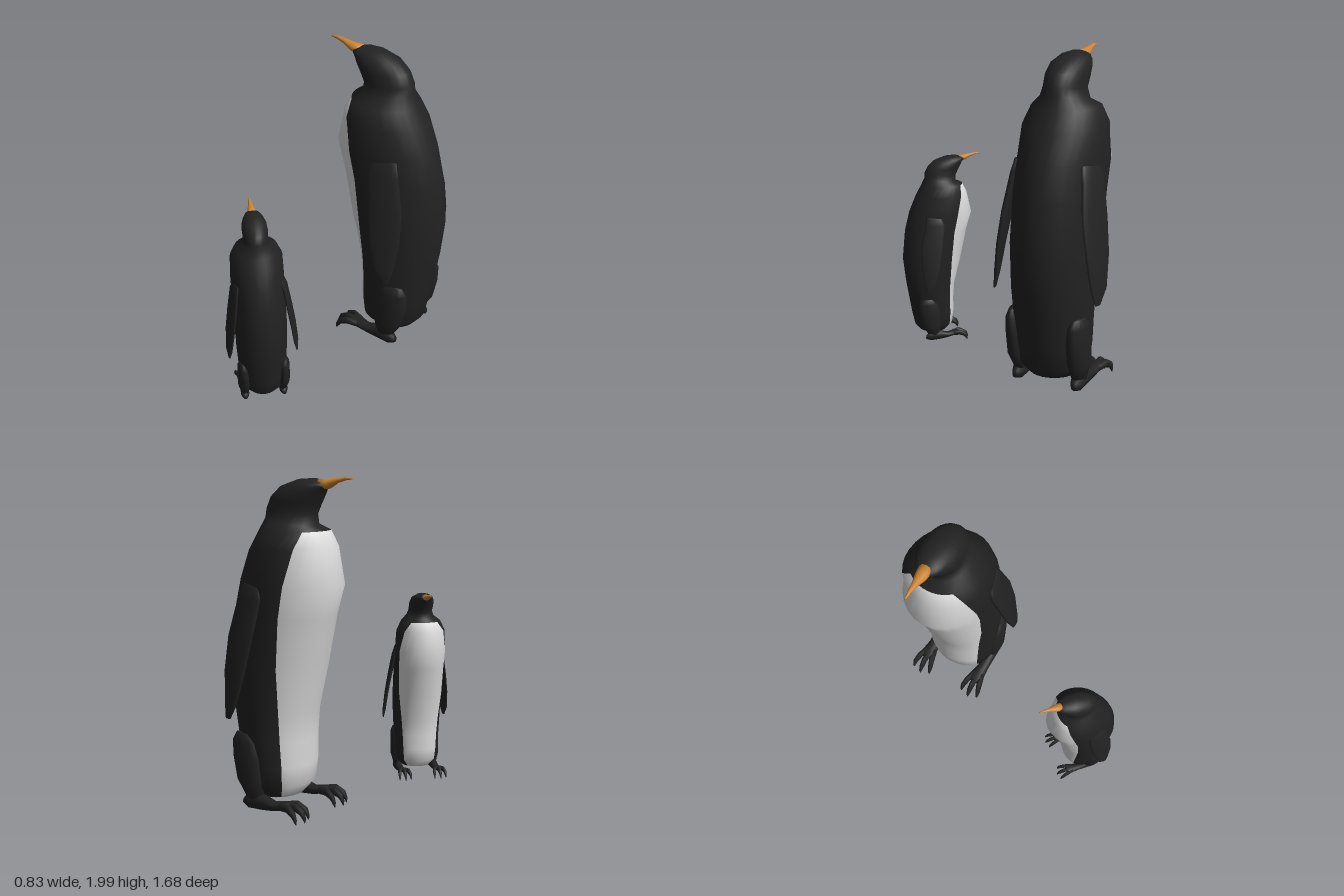
import * as THREE from 'three';

const black = new THREE.MeshStandardMaterial({ color: 0x222222 });
black.name = 'blackPlumage';
const white = new THREE.MeshStandardMaterial({ color: 0xdcdcdc });
white.name = 'whiteBelly';
const orange = new THREE.MeshStandardMaterial({ color: 0xcc8433 });
orange.name = 'orangeBeak';

// Skin closed rings. Ring: [front x, front y, back x, back y, half width, front z, back z].
// patch: half angle in degrees of the white area, for each of the lowest rings.
function loft(name, rings, material, { sides = 12, patch = null, mid = 0.5 } = {}) {
  const pos = [], main = [], pale = [];
  const paleCols = patch ? 10 : 0;
  rings.forEach(([xf, yf, xb, yb, w, zf = 0, zb = zf], i) => {
    const edge = patch ? THREE.MathUtils.degToRad(patch[Math.min(i, patch.length - 1)]) : 0;
    for (let j = 0; j < sides; j++) {
      // columns 0..paleCols span the white patch, the others the rest of the ring
      const a = j < paleCols
        ? -edge + (2 * edge * j) / paleCols
        : edge + ((2 * Math.PI - 2 * edge) * (j - paleCols)) / (sides - paleCols);
      const c = Math.cos(a);
      const t = c > 0 ? mid * (1 - c) : mid - (1 - mid) * c;
      pos.push(xf + (xb - xf) * t, yf + (yb - yf) * t, zf + (zb - zf) * t + w * Math.sin(a));
    }
  });
  for (let i = 0; i < rings.length - 1; i++) {
    for (let j = 0; j < sides; j++) {
      const k = (j + 1) % sides;
      const a = i * sides + j, b = i * sides + k;
      const list = patch && i < patch.length - 1 && j < paleCols ? pale : main;
      list.push(a, b, b + sides, a, b + sides, a + sides);
    }
  }
  // end caps
  [0, rings.length - 1].forEach((i, end) => {
    const [xf, yf, xb, yb, , zf = 0, zb = zf] = rings[i];
    const centre = pos.length / 3;
    pos.push((xf + xb) / 2, (yf + yb) / 2, (zf + zb) / 2);
    for (let j = 0; j < sides; j++) {
      const a = i * sides + j, b = i * sides + ((j + 1) % sides);
      main.push(centre, ...(end ? [a, b] : [b, a]));
    }
  });
  const geo = new THREE.BufferGeometry();
  geo.setAttribute('position', new THREE.Float32BufferAttribute(pos, 3));
  geo.setIndex([...pale, ...main]);
  geo.computeVertexNormals();
  if (patch) {
    geo.addGroup(0, pale.length, 0);
    geo.addGroup(pale.length, main.length, 1);
  }
  const mesh = new THREE.Mesh(geo, patch ? [white, material] : material);
  mesh.name = name;
  return mesh;
}

// One bird facing -x
function makePenguin(name) {
  const bird = new THREE.Group();
  bird.name = name;

  // body, neck and head, from the bottom up
  bird.add(loft('bodyAndHead', [
    [-0.03, 0.10, 0.25, 0.10, 0.15],
    [-0.10, 0.18, 0.30, 0.16, 0.215],
    [-0.115, 0.30, 0.33, 0.30, 0.23],
    [-0.115, 0.45, 0.36, 0.48, 0.24],
    [-0.13, 0.62, 0.387, 0.65, 0.25],
    [-0.205, 0.90, 0.415, 0.90, 0.257],
    [-0.27, 1.20, 0.385, 1.20, 0.258],
    [-0.325, 1.38, 0.335, 1.40, 0.258],
    [-0.275, 1.60, 0.26, 1.57, 0.25],
    [-0.23, 1.69, 0.20, 1.68, 0.205],
    [-0.165, 1.715, 0.165, 1.76, 0.14],
    [-0.165, 1.78, 0.165, 1.81, 0.118],
    [-0.19, 1.835, 0.13, 1.88, 0.122],
    [-0.22, 1.89, 0.06, 1.94, 0.115],
    [-0.235, 1.92, -0.06, 1.98, 0.09],
    [-0.25, 1.933, -0.16, 1.987, 0.062],
    [-0.255, 1.94, -0.225, 1.973, 0.036],
  ], black, { sides: 30, mid: 0.45, patch: [48, 50, 50, 50, 52, 63, 69, 72, 56, 42] }));

  // beak
  bird.add(loft('beak', [
    [-0.235, 1.925, -0.20, 1.982, 0.042],
    [-0.275, 1.93, -0.25, 1.984, 0.036],
    [-0.33, 1.962, -0.32, 1.992, 0.02],
    [-0.39, 1.98, -0.38, 2.0, 0.011],
    [-0.428, 1.984, -0.425, 1.994, 0.004],
  ], orange));

  for (const side of [1, -1]) {
    const label = side > 0 ? 'left' : 'right';
    const mirror = (rings) => rings.map((r) => [...r.slice(0, 5), r[5] * side, r[6] * side]);

    // flipper, tip to shoulder
    bird.add(loft(label + 'Flipper', mirror([
      [0.20, 0.60, 0.245, 0.60, 0.006, 0.34, 0.33],
      [0.145, 0.69, 0.265, 0.69, 0.018, 0.35, 0.31],
      [0.09, 0.88, 0.285, 0.88, 0.022, 0.335, 0.285],
      [0.055, 1.08, 0.278, 1.08, 0.024, 0.305, 0.255],
      [0.025, 1.30, 0.225, 1.30, 0.026, 0.265, 0.225],
      [0.05, 1.37, 0.20, 1.39, 0.018, 0.245, 0.21],
    ]), black, { sides: 16 }));

    // thigh, ankle to hip
    bird.add(loft(label + 'Thigh', mirror([
      [0.09, 0.09, 0.20, 0.09, 0.04, 0.195, 0.19],
      [0.07, 0.20, 0.27, 0.20, 0.06, 0.205, 0.195],
      [0.07, 0.34, 0.30, 0.34, 0.058, 0.21, 0.195],
      [0.10, 0.44, 0.30, 0.44, 0.05, 0.215, 0.20],
      [0.15, 0.49, 0.27, 0.49, 0.025, 0.22, 0.205],
    ]), black, { sides: 14 }));

    // foot, heel to ball
    bird.add(loft(label + 'Foot', mirror([
      [0.23, 0.045, 0.22, 0.09, 0.02, 0.195, 0.195],
      [0.18, 0.025, 0.18, 0.13, 0.042, 0.195, 0.195],
      [0.08, 0.03, 0.09, 0.13, 0.04, 0.195, 0.195],
      [0.0, 0.04, 0.0, 0.10, 0.038, 0.193, 0.193],
      [-0.10, 0.065, -0.10, 0.115, 0.052, 0.19, 0.19],
      [-0.13, 0.075, -0.13, 0.105, 0.04, 0.19, 0.19],
    ]), black));

    // three toes ending in hooked claws
    for (const k of [-1, 0, 1]) {
      const z = (spread) => 0.19 + k * spread;
      const reach = k === 0 ? -0.02 : 0;
      bird.add(loft(label + 'Toe', mirror([
        [-0.06, 0.06, -0.06, 0.105, 0.018, z(0.028), z(0.028)],
        [-0.13 + reach, 0.065, -0.14 + reach, 0.118, 0.02, z(0.045), z(0.045)],
        [-0.175 + reach, 0.05, -0.195 + reach, 0.085, 0.016, z(0.058), z(0.058)],
        [-0.19 + reach, 0.03, -0.212 + reach, 0.042, 0.009, z(0.06), z(0.06)],
        [-0.205 + reach, 0.01, -0.209 + reach, 0.012, 0.003, z(0.06), z(0.06)],
      ]), black, { sides: 8 }));
    }
  }
  return bird;
}

export function createModel() {
  const model = new THREE.Group();
  model.name = 'penguinPair';

  const large = makePenguin('largePenguin');
  large.position.set(0, 0, -0.45);
  large.rotation.y = 0.23;

  const small = makePenguin('smallPenguin');
  small.position.set(-0.01, 0, 0.59);
  small.rotation.y = -0.52;
  small.scale.setScalar(0.62);

  model.add(large, small);
  return model;
}
